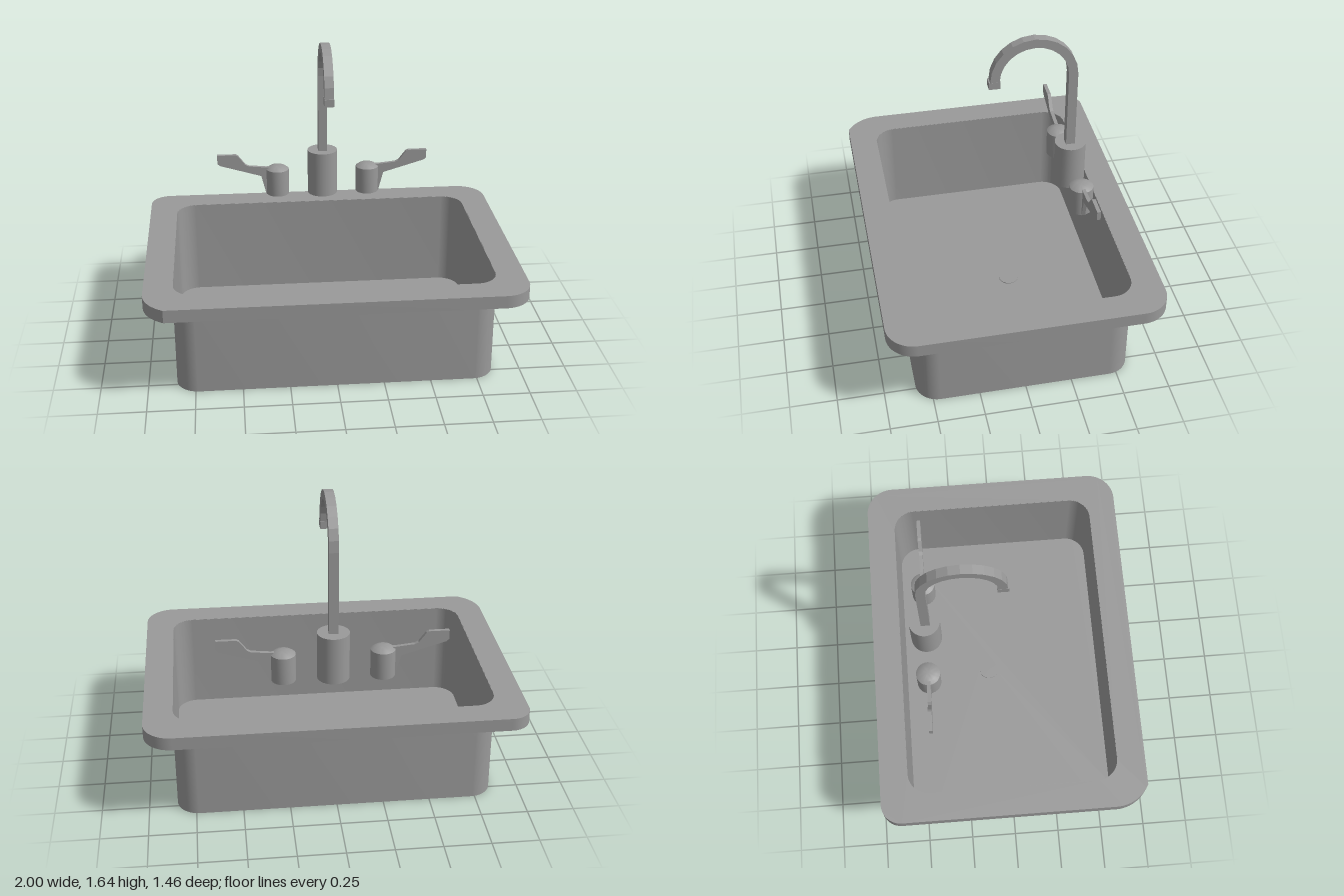
import * as THREE from 'three';
import { toCreasedNormals } from 'three/addons/utils/BufferGeometryUtils.js';

const grey = new THREE.MeshStandardMaterial({ color: 0x999999 });
grey.name = 'sink grey';

// Rounded rectangle; radii run +x+z, -x+z, -x-z, +x-z. 'cut' swaps the -x+z corner for a shallow curve.
function roundedRect(path, w, d, radii, cut) {
  [[1, 1], [-1, 1], [-1, -1], [1, -1]].forEach(([sx, sz], i) => {
    if (cut && i === 1) {
      path.lineTo(-w + 0.11, d);
      path.quadraticCurveTo(-w + 0.01, d - 0.06, -w, d - 0.17);
      return;
    }
    const r = radii[i];
    path.absarc(sx * (w - r), sz * (d - r), r, i * Math.PI / 2, (i + 1) * Math.PI / 2, false);
  });
  path.closePath();
  return path;
}

// Extrude a plan shape (x, z) downwards from y = top
function slab(shape, top, depth) {
  const g = new THREE.ExtrudeGeometry(shape, { depth, bevelEnabled: false, curveSegments: 10 });
  g.rotateX(Math.PI / 2).translate(0, top, 0);
  return toCreasedNormals(g, 0.5);
}

export function createModel() {
  const model = new THREE.Group();
  model.name = 'sink';
  const add = (name, geometry, parent = model) => {
    const mesh = new THREE.Mesh(geometry, grey);
    mesh.name = name;
    parent.add(mesh);
    return mesh;
  };
  const outer = [0.12, 0.12, 0.12, 0.12];
  const inner = outer.map(r => r - 0.004);

  // Rim with its one uneven corner
  const rim = roundedRect(new THREE.Shape(), 1, 0.73, [0.15, 0.15, 0.11, 0.15], true);
  rim.holes.push(roundedRect(new THREE.Path(), 0.848, 0.578, outer));
  add('rim', slab(rim, 0.57, 0.07));

  // Thin basin walls
  const walls = roundedRect(new THREE.Shape(), 0.85, 0.58, outer);
  walls.holes.push(roundedRect(new THREE.Path(), 0.846, 0.576, inner));
  add('basinWalls', slab(walls, 0.569, 0.569));

  // Floor with a drain recess closed by a cap
  const floor = roundedRect(new THREE.Shape(), 0.847, 0.577, inner);
  const hole = new THREE.Path();
  hole.absarc(0.01, -0.08, 0.055, 0, Math.PI * 2, true);
  floor.holes.push(hole);
  add('basinFloor', slab(floor, 0.02, 0.02));
  add('drainCap', new THREE.CylinderGeometry(0.055, 0.055, 0.005, 24)).position.set(0.01, 0.022, -0.08);

  // Faucet
  const faucet = new THREE.Group();
  faucet.name = 'faucet';
  faucet.position.set(0.005, 0, 0);
  model.add(faucet);
  add('faucetBase', new THREE.CylinderGeometry(0.085, 0.085, 0.26, 32), faucet).position.set(0, 0.83, -0.42);

  // Square-section gooseneck drawn in side profile (z, y)
  const neck = new THREE.Shape();
  neck.moveTo(-0.44, 0.95);
  neck.lineTo(-0.39, 0.95);
  neck.absarc(-0.205, 1.41, 0.185, Math.PI, 0, true);
  neck.absarc(-0.205, 1.41, 0.235, 0, Math.PI, false);
  neck.closePath();
  const neckGeo = new THREE.ExtrudeGeometry(neck, { depth: 0.05, bevelEnabled: false, curveSegments: 6 });
  neckGeo.rotateY(-Math.PI / 2).translate(0.025, 0, 0);
  add('gooseneck', neckGeo, faucet);
  add('spoutTip', new THREE.BoxGeometry(0.052, 0.04, 0.062), faucet).position.set(0, 1.39, 0.006);

  // Handles: domed post and flat wing lever, one each side
  const lever = new THREE.Shape([
    [0.26, 0.7], [0.327, 0.7], [0.355, 0.81], [0.59, 0.88], [0.605, 0.893], [0.605, 0.943],
    [0.498, 0.943], [0.485, 0.935], [0.445, 0.882], [0.425, 0.872], [0.327, 0.862], [0.26, 0.862],
  ].map(([x, y]) => new THREE.Vector2(x, y)));
  const post = [[0, 0.7], [0.065, 0.7], [0.065, 0.85], [0.045, 0.864], [0.022, 0.87], [0, 0.871]]
    .map(([x, y]) => new THREE.Vector2(x, y));
  for (const [name, turn] of [['leftHandle', 0], ['rightHandle', Math.PI]]) {
    const handle = new THREE.Group();
    handle.name = name;
    handle.position.z = -0.42;
    handle.rotation.y = turn;
    faucet.add(handle);
    const postGeo = toCreasedNormals(new THREE.LatheGeometry(post, 28), 0.5);
    add('handlePost', postGeo, handle).position.x = 0.26;
    const leverGeo = new THREE.ExtrudeGeometry(lever, { depth: 0.02, bevelEnabled: false });
    add('handleLever', leverGeo.translate(0, 0, -0.01), handle);
  }
  return model;
}
